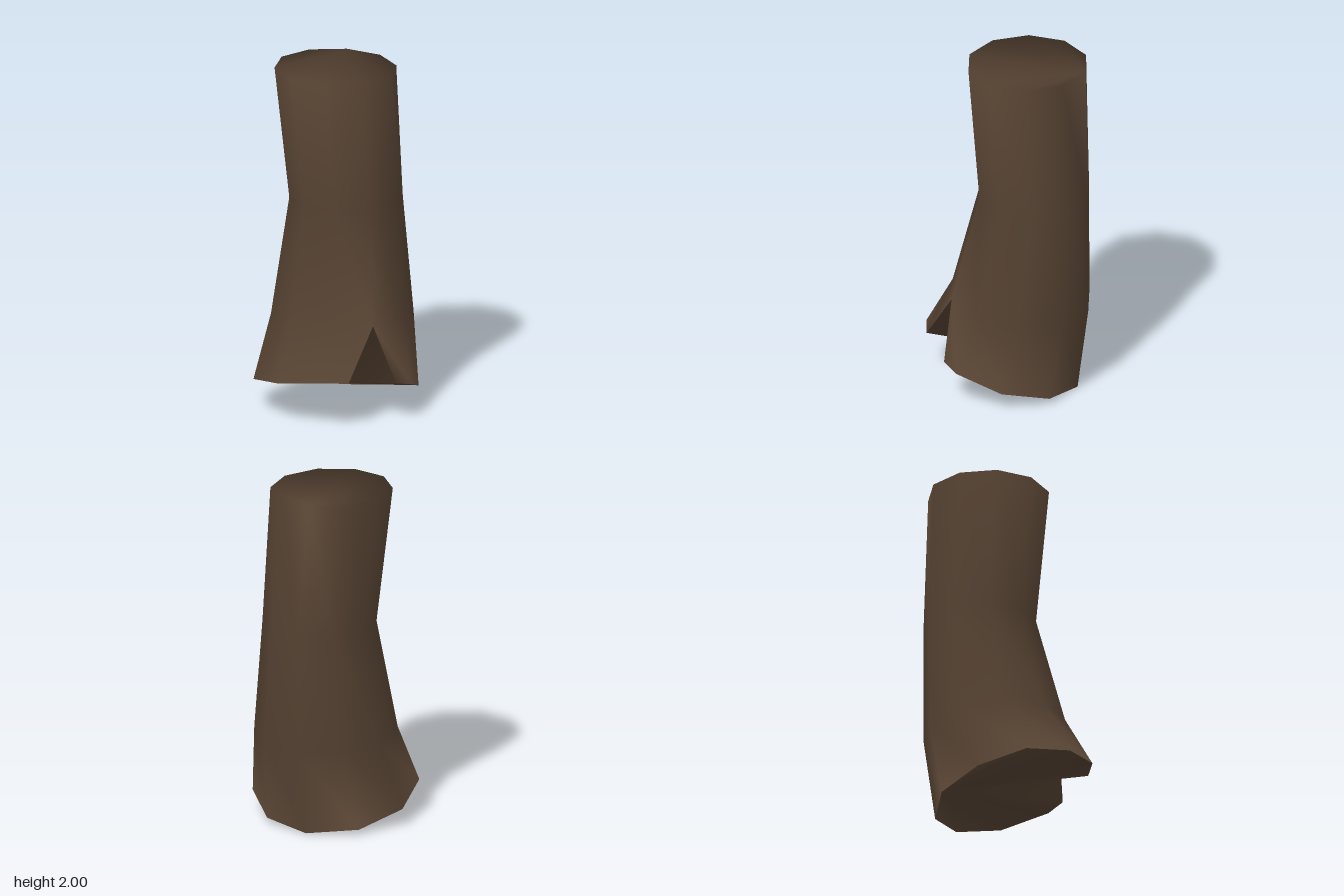
import * as THREE from 'three';

const SIDES = 10;

// Decagon ring around a centre, tilted by sx (along x) and sz (along z)
function ring(cx, cy, cz, r, sx = 0, sz = 0) {
  return Array.from({ length: SIDES }, (_, i) => {
    const a = (i / SIDES) * Math.PI * 2;
    const dx = r * Math.sin(a), dz = -r * Math.cos(a);
    return [cx + dx, cy + sx * dx + sz * dz, cz + dz];
  });
}

export function createModel() {
  const group = new THREE.Group();
  const brown = new THREE.MeshStandardMaterial({ color: 0x544131, side: THREE.DoubleSide });
  brown.name = 'dark brown';

  const rings = [
    ring(-0.03, 1.99, -0.105, 0.35, -0.02),
    ring(0.02, 1.205, -0.165, 0.326, -0.01),
    ring(0.015, 0.535, -0.08, 0.41, 0, 0.085),
  ];
  // Slanted hem, split in two at column 4 to leave a notch
  const hem = [
    [0, 0, -0.42], [0.27, 0.035, -0.345], [0.45, 0.11, -0.12], [0.458, 0.2, 0.155],
    [0.39, 0.23, 0.25], [0.15, 0.27, 0.44],
    [0.01, 0.28, 0.49], [-0.27, 0.24, 0.41], [-0.45, 0.19, 0.19],
    [-0.46, 0.1, -0.09], [-0.29, 0.03, -0.33],
  ];

  const positions = [...rings.flat(), ...hem].flat();
  const index = [];
  const quad = (a, b, c, d) => index.push(a, b, d, b, c, d);
  // Fan over a closed loop, facing up
  const fan = (loop) => {
    for (let i = 1; i < loop.length - 1; i++) index.push(loop[0], loop[i + 1], loop[i]);
  };

  // Bent tube walls
  for (let k = 0; k < 2; k++) {
    for (let i = 0; i < SIDES; i++) {
      const j = (i + 1) % SIDES, a = k * SIDES, b = a + SIDES;
      quad(a + i, a + j, b + j, b + i);
    }
  }

  // Flared skirt down to the hem
  const top = 2 * SIDES, low = 3 * SIDES;
  for (let i = 0; i < SIDES; i++) {
    const j = (i + 1) % SIDES;
    const left = low + (i < 4 ? i : i + 1);
    const right = low + (j <= 4 ? j : j + 1);
    quad(top + i, top + j, right, left);
  }

  // Top cap and bottom cap, the latter running up through the notch
  fan(Array.from({ length: SIDES }, (_, i) => i));
  const h = hem.map((_, i) => low + i);
  fan([h[10], ...h.slice(0, 5), top + 4, ...h.slice(5, 10)]);

  const geometry = new THREE.BufferGeometry();
  geometry.setAttribute('position', new THREE.Float32BufferAttribute(positions, 3));
  geometry.setIndex(index);
  geometry.computeVertexNormals();

  const sleeve = new THREE.Mesh(geometry, brown);
  sleeve.name = 'notchedSleeve';
  group.add(sleeve);
  return group;
}
